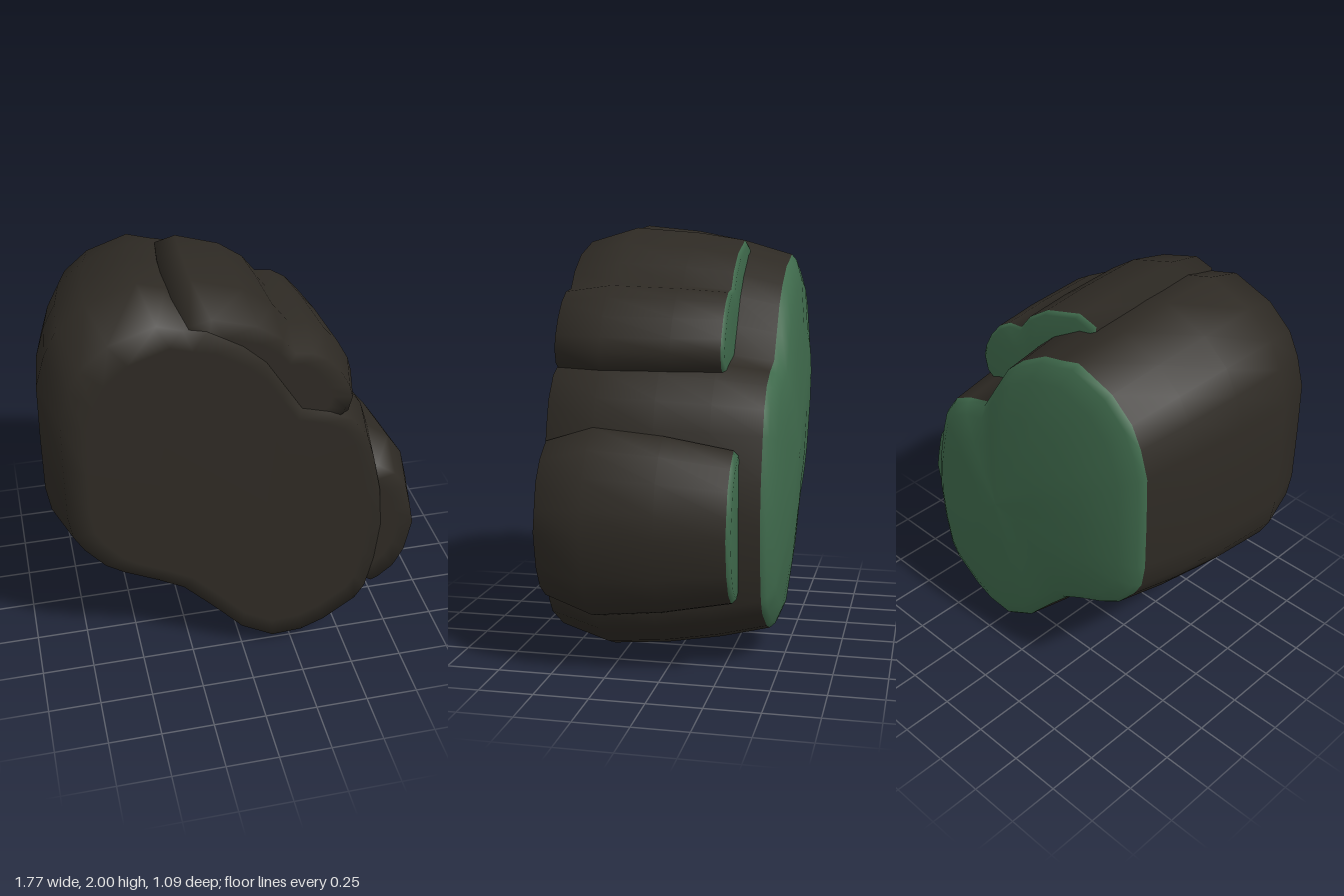
import * as THREE from 'three';

const rock = new THREE.MeshStandardMaterial({ color: 0x2e2a24 });
const grass = new THREE.MeshStandardMaterial({ color: 0x3f6a4c });

// Two soft swells on the grassy back of the main rock
const swell = (x, y) =>
  0.02 * Math.exp(-((x + 0.35) ** 2 + (y - 1.25) ** 2) / 0.08) +
  0.012 * Math.exp(-((x - 0.15) ** 2 + (y - 0.75) ** 2) / 0.08);

// Lofts an outline (counter-clockwise from the front) through rings of [z, scale]
// about a pivot. Rings from index grassFrom onwards are grass; normals are shared.
function makeLobe(name, outline, pivot, rings, grassFrom, bump = () => 0) {
  const n = outline.length;
  const positions = [];
  rings.forEach(([z, s], i) => {
    for (const [px, py] of outline) {
      const x = pivot[0] + (px - pivot[0]) * s;
      const y = pivot[1] + (py - pivot[1]) * s;
      positions.push(x, y, i > grassFrom ? z - bump(x, y) : z);
    }
  });
  const rockIndex = [];
  const grassIndex = [];
  for (let i = 0; i < rings.length - 1; i++) {
    const target = i >= grassFrom ? grassIndex : rockIndex;
    for (let j = 0; j < n; j++) {
      const k = (j + 1) % n;
      const a = i * n + j, b = i * n + k, c = a + n, d = b + n;
      if (rings[i][1] > 0) target.push(a, c, b);
      if (rings[i + 1][1] > 0) target.push(b, c, d);
    }
  }
  const whole = new THREE.BufferGeometry();
  whole.setAttribute('position', new THREE.Float32BufferAttribute(positions, 3));
  whole.setIndex([...rockIndex, ...grassIndex]);
  whole.computeVertexNormals();

  const group = new THREE.Group();
  group.name = name;
  for (const [part, index, material] of [['Rock', rockIndex, rock], ['Grass', grassIndex, grass]]) {
    const geometry = whole.clone();
    geometry.setIndex(index);
    const mesh = new THREE.Mesh(geometry, material);
    mesh.name = name + part;
    group.add(mesh);
  }
  return group;
}

export function createModel() {
  const model = new THREE.Group();
  model.name = 'grassyRock';

  // Main rock: a peanut-shaped outline, tapering towards the grass
  const mainOutline = [
    [-0.43, 2.0], [-0.65, 1.925], [-0.78, 1.815], [-0.84, 1.7], [-0.885, 1.55],
    [-0.89, 1.28], [-0.89, 1.0], [-0.87, 0.87], [-0.82, 0.78], [-0.72, 0.66],
    [-0.63, 0.6], [-0.47, 0.52], [-0.33, 0.44], [-0.17, 0.27], [-0.02, 0.1],
    [0.15, 0.0], [0.31, 0.01], [0.43, 0.06], [0.6, 0.18], [0.65, 0.26],
    [0.69, 0.45], [0.71, 0.67], [0.69, 0.9], [0.64, 1.12], [0.6, 1.25],
    [0.52, 1.36], [0.4, 1.42], [0.26, 1.46], [0.17, 1.6], [0.08, 1.74],
    [-0.03, 1.84], [-0.2, 1.94], [-0.31, 1.965],
  ];
  model.add(makeLobe('mainRock', mainOutline, [0.1, 0.92], [
    [0.55, 0], [0.55, 0.5], [0.55, 0.82], [0.55, 0.925], [0.32, 1], [0.05, 0.975],
    [-0.2, 0.93], [-0.43, 0.87], [-0.455, 0.845], [-0.487, 0.76], [-0.51, 0.55],
    [-0.525, 0.28], [-0.528, 0],
  ], 7, swell));

  // Upper ledge: a two-bump lobe tucked into the upper notch
  const upperOutline = [
    [-0.31, 1.96], [-0.3, 1.6], [0.0, 1.3], [0.35, 1.25], [0.52, 1.36],
    [0.54, 1.44], [0.52, 1.51], [0.47, 1.6], [0.4, 1.68], [0.32, 1.73],
    [0.23, 1.74], [0.16, 1.83], [0.03, 1.92], [-0.2, 1.99],
  ];
  model.add(makeLobe('upperLedge', upperOutline, [0.1, 1.5], [
    [0.545, 0], [0.545, 0.65], [0.545, 0.86], [0.32, 1], [0.0, 0.95],
    [-0.225, 0.88], [-0.24, 0.83], [-0.245, 0.5], [-0.245, 0],
  ], 5));

  // Lower ledge: a shallow bulge on the lower side
  const lowerOutline = [
    [0.64, 1.12], [0.45, 1.0], [0.4, 0.7], [0.45, 0.4], [0.66, 0.26],
    [0.7, 0.275], [0.79, 0.35], [0.85, 0.47], [0.885, 0.67], [0.86, 0.79],
    [0.825, 0.93], [0.75, 1.04],
  ];
  model.add(makeLobe('lowerLedge', lowerOutline, [0.55, 0.7], [
    [0.545, 0], [0.545, 0.6], [0.545, 0.83], [0.32, 1], [0.0, 0.93],
    [-0.31, 0.8], [-0.33, 0.75], [-0.335, 0.45], [-0.335, 0],
  ], 5));

  return model;
}
